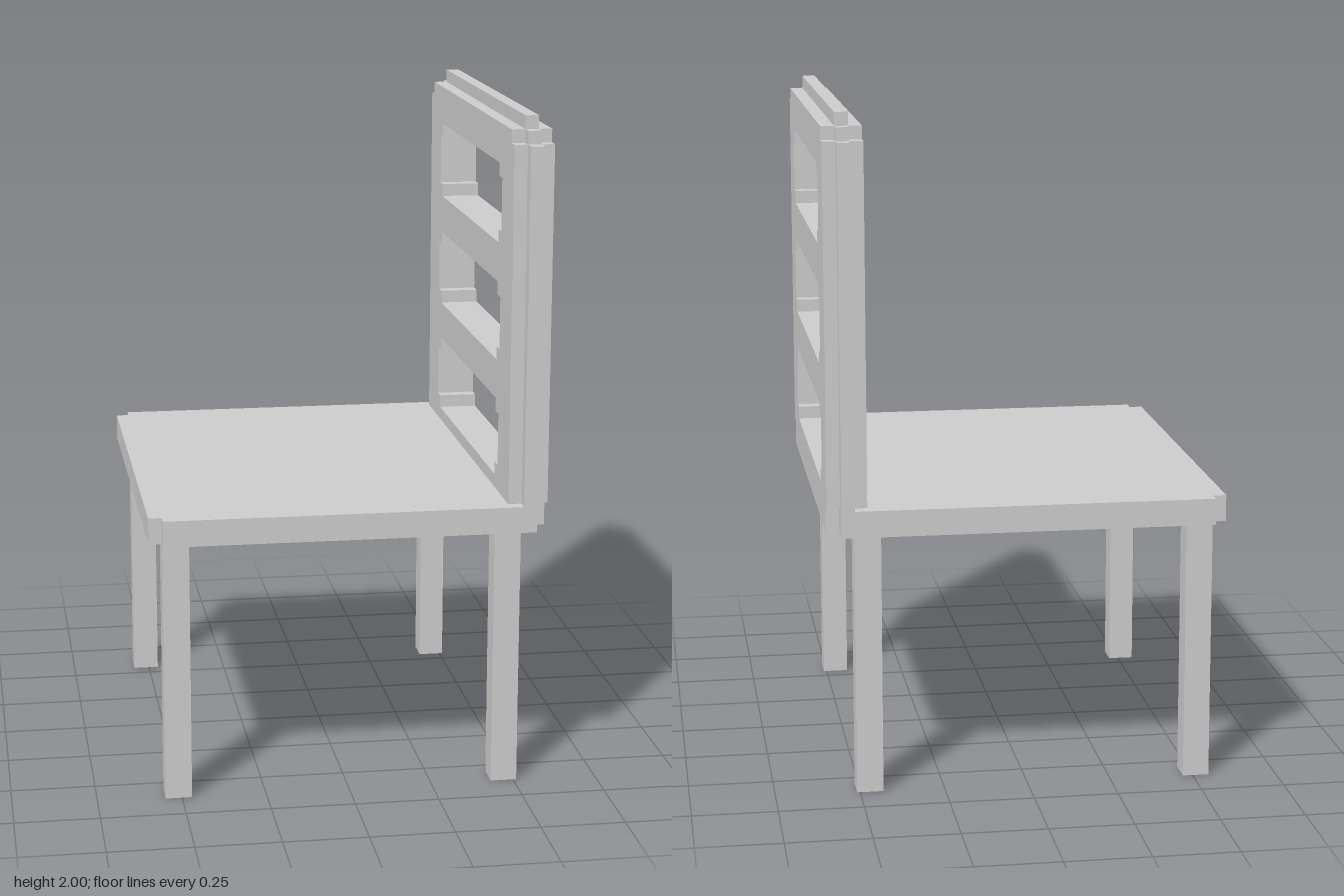
import * as THREE from 'three';

const U = 2 / 51; // one block of the grid the chair is built on
const material = new THREE.MeshStandardMaterial({ color: 0xcccccc, flatShading: true });

// Closed outline mirrored about the vertical axis, from its right half (bottom to top)
function mirrored(half, Type = THREE.Shape) {
  const left = half.map(([x, y]) => [-x, y]).reverse();
  return new Type([...half, ...left].map(([x, y]) => new THREE.Vector2(x * U, y * U)));
}

function add(group, name, geometry) {
  const mesh = new THREE.Mesh(geometry, material);
  mesh.name = name;
  group.add(mesh);
  return mesh;
}

// Slot between the slats, with one-block notched corners
const slot = (y) => mirrored([
  [11, y], [11, y + 1], [12, y + 1], [12, y + 5], [11, y + 5], [11, y + 6],
], THREE.Path);

// One-block-thick slotted panel across the back, starting at x
function backPanel(group, name, x, half) {
  const shape = mirrored(half);
  shape.holes = [23, 32, 41].map(slot);
  const geometry = new THREE.ExtrudeGeometry(shape, { depth: U, bevelEnabled: false });
  geometry.rotateY(Math.PI / 2);
  add(group, name, geometry).position.x = x * U;
}

export function createModel() {
  const chair = new THREE.Group();
  chair.name = 'chair';

  // Seat slab, notched at its two front corners
  const seatShape = mirrored([[17, -13], [17, 14], [16, 14], [16, 15]]);
  const seat = new THREE.ExtrudeGeometry(seatShape, { depth: 2 * U, bevelEnabled: false });
  seat.rotateX(-Math.PI / 2).rotateY(Math.PI / 2);
  add(chair, 'seat', seat).position.y = 20 * U;

  // Four square legs
  for (const [name, x] of [['frontLeg', -13], ['rearLeg', 12]]) {
    for (const side of [-1, 1]) {
      const leg = add(chair, name, new THREE.BoxGeometry(2 * U, 20 * U, 2 * U));
      leg.position.set(x * U, 10 * U, side * 15 * U);
    }
  }

  // Backrest: a larger core panel between two smaller facings
  const back = new THREE.Group();
  back.name = 'backrest';
  backPanel(back, 'backFrontFacing', 12, [[16, 22], [16, 49], [15, 49], [15, 50]]);
  backPanel(back, 'backCore', 13, [[17, 20], [17, 49], [16, 49], [16, 50], [15, 50], [15, 51]]);
  backPanel(back, 'backRearFacing', 14, [[15, 20], [15, 22], [16, 22], [16, 49], [15, 49], [15, 50]]);
  chair.add(back);

  return chair;
}
